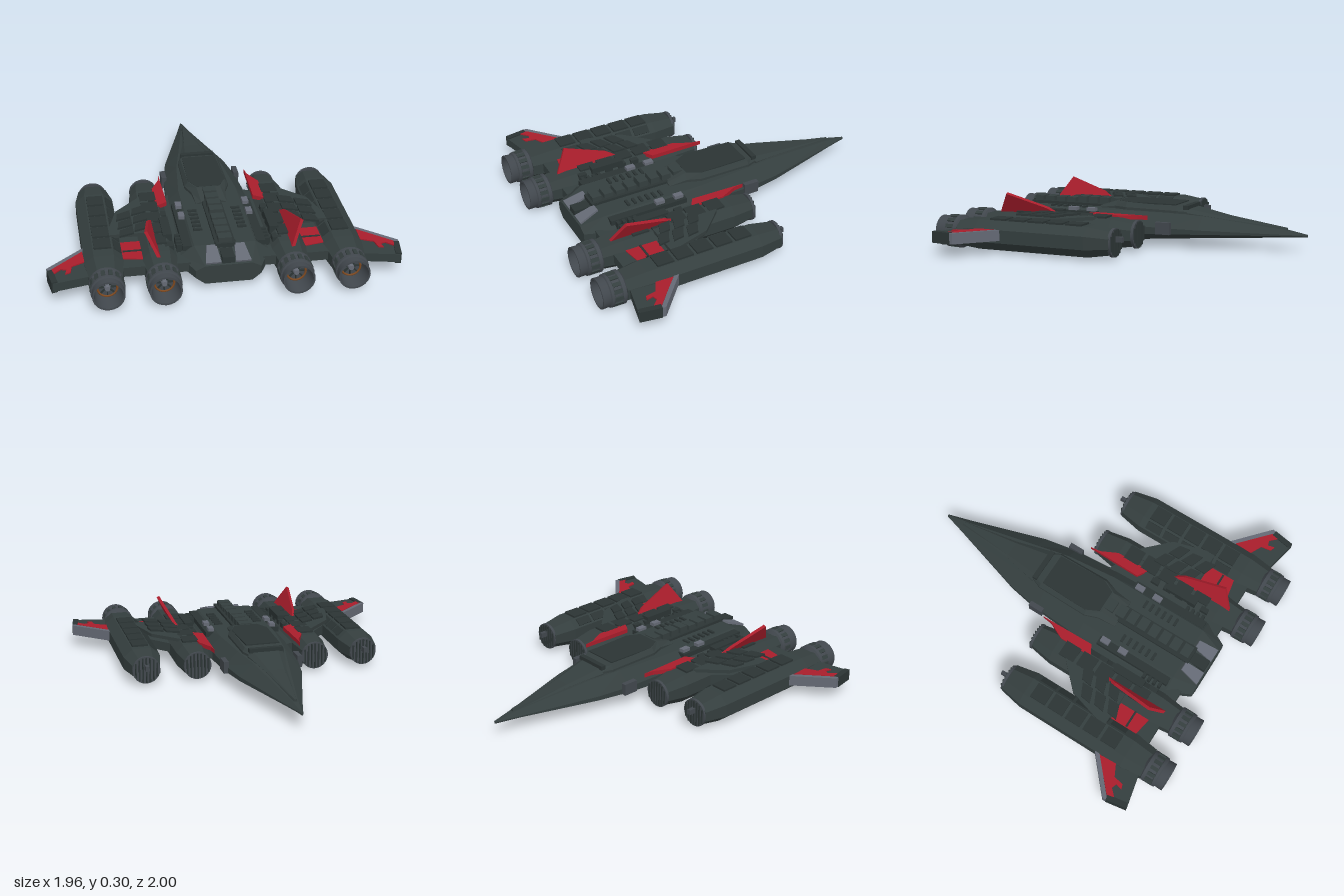
import * as THREE from 'three';
import { toCreasedNormals } from 'three/addons/utils/BufferGeometryUtils.js';

const mat = (name, color, side = THREE.FrontSide) => {
  const m = new THREE.MeshStandardMaterial({ color, side });
  m.name = name;
  return m;
};

export function createModel() {
  const hullMat = mat('hull grey green', 0x343e3e);
  const panelMat = mat('dark panel', 0x2b3434);
  const redMat = mat('red paint', 0xa81d2b);
  const metalMat = mat('engine metal', 0x41474d, THREE.DoubleSide);
  const greyMat = mat('light grey', 0x646974);
  const orangeMat = mat('burnt orange', 0x7d4a22);

  const root = new THREE.Group();
  root.name = 'starfighter';
  const add = (name, geo, m, parent = root) => {
    const mesh = new THREE.Mesh(geo, m);
    mesh.name = name;
    parent.add(mesh);
    return mesh;
  };
  const box = (name, m, x, y, z, w, h, d, parent = root) =>
    add(name, new THREE.BoxGeometry(w, h, d).translate(x, y, z), m, parent);

  // Flat shaded loft through eight-sided sections, ordered by growing z:
  // [z, bottom half width, half width, top half width, y0, y1, y2, y3]
  const loft = (sections) => {
    const rings = sections.map(([z, b, w, t, y0, y1, y2, y3]) => [
      [b, y0, z], [w, y1, z], [w, y2, z], [t, y3, z],
      [-t, y3, z], [-w, y2, z], [-w, y1, z], [-b, y0, z]]);
    const pos = [];
    const tri = (...p) => p.forEach((v) => pos.push(...v));
    for (let i = 0; i < rings.length - 1; i++) {
      for (let j = 0; j < 8; j++) {
        const k = (j + 1) % 8, A = rings[i], B = rings[i + 1];
        tri(A[j], A[k], B[j]);
        tri(A[k], B[k], B[j]);
      }
    }
    const F = rings[0], L = rings[rings.length - 1];
    for (let j = 1; j < 7; j++) {
      tri(F[0], F[j + 1], F[j]);
      tri(L[0], L[j], L[j + 1]);
    }
    const g = new THREE.BufferGeometry();
    g.setAttribute('position', new THREE.Float32BufferAttribute(pos, 3));
    g.computeVertexNormals();
    return g;
  };

  // Horizontal slab from an [x, z] outline, mirrored by s
  const plate = (pts, y, h, s = 1) => {
    const shape = new THREE.Shape(pts.map(([x, z]) => new THREE.Vector2(x * s, -z)));
    return new THREE.ExtrudeGeometry(shape, { depth: h, bevelEnabled: false })
      .rotateX(-Math.PI / 2).translate(0, y, 0);
  };

  // Fuselage
  add('fuselage', loft([
    [-1, 0.003, 0.006, 0.003, 0.087, 0.092, 0.098, 0.102],
    [-0.86, 0.02, 0.046, 0.018, 0.08, 0.092, 0.1, 0.125],
    [-0.4, 0.1, 0.185, 0.1, 0.058, 0.09, 0.115, 0.185],
    [-0.2, 0.13, 0.22, 0.14, 0.046, 0.085, 0.12, 0.198],
    [0.1, 0.15, 0.24, 0.17, 0.025, 0.075, 0.13, 0.2],
    [0.72, 0.15, 0.25, 0.17, 0.025, 0.075, 0.135, 0.195],
    [0.86, 0.13, 0.18, 0.13, 0.035, 0.075, 0.12, 0.145]]), hullMat);
  // Raised nose ridge, cockpit and spine
  add('noseRidge', loft([
    [-0.88, 0.012, 0.012, 0.006, 0.11, 0.115, 0.12, 0.134],
    [-0.52, 0.06, 0.06, 0.045, 0.15, 0.16, 0.17, 0.18],
    [-0.3, 0.11, 0.11, 0.075, 0.18, 0.19, 0.2, 0.22]]), hullMat);
  add('cockpit', loft([
    [-0.3, 0.1, 0.1, 0.075, 0.18, 0.19, 0.205, 0.225],
    [-0.24, 0.125, 0.125, 0.11, 0.18, 0.19, 0.21, 0.232],
    [0.08, 0.13, 0.13, 0.11, 0.18, 0.19, 0.215, 0.245],
    [0.16, 0.11, 0.1, 0.07, 0.18, 0.19, 0.215, 0.245],
    [0.27, 0.1, 0.09, 0.06, 0.18, 0.19, 0.2, 0.21]]), hullMat);
  add('cockpitRoof', plate([[-0.1, -0.23], [0.1, -0.23], [0.11, 0.07], [0.07, 0.15], [-0.07, 0.15], [-0.11, 0.07]], 0.239, 0.007), panelMat);
  box('cockpitSill', panelMat, 0, 0.228, -0.29, 0.2, 0.025, 0.03);
  box('spine', panelMat, 0, 0.2, 0.48, 0.11, 0.025, 0.54);
  for (let i = 0; i < 8; i++)
    box('spineBlock', hullMat, 0, 0.225, 0.19 + i * 0.074, 0.076, i < 4 ? 0.05 : 0.03, 0.056);
  box('tailBlock', panelMat, 0, 0.165, 0.79, 0.07, 0.04, 0.12);

  // Nacelle with front cap, top panels and open nozzle, along z about its own centre
  const nozzleGeo = toCreasedNormals(new THREE.LatheGeometry(
    [[0.075, 0.85], [0.096, 0.865], [0.096, 0.885], [0.088, 0.89], [0.088, 0.93], [0.094, 0.935],
      [0.094, 0.95], [0.086, 0.955], [0.088, 1], [0.078, 1], [0.066, 0.9], [0, 0.89]]
      .map(([r, y]) => new THREE.Vector2(r, y)), 24).rotateX(Math.PI / 2), 0.6);
  const nacelle = (x, half, outer, s) => {
    const g = new THREE.Group();
    g.name = outer ? 'outerNacelle' : 'innerNacelle';
    g.position.set(x * s, 0.1, 0);
    root.add(g);
    const sec = (z, k) => [z, 0.05 * k, half * k, 0.055 * k, -0.085 * k, -0.035 * k, 0.04 * k, 0.085 * k];
    add('nacelleBody', loft([sec(-0.1, 0.76), sec(0.04, 1), sec(0.73, 1), sec(0.86, 0.85)]), hullMat, g);
    add('frontCap', new THREE.CylinderGeometry(0.082, 0.082, 0.016, 24).rotateX(Math.PI / 2).translate(0, 0, -0.1), metalMat, g);
    for (let i = -3; i <= 3; i++)
      box('capGrille', panelMat, i * 0.021, 0, -0.11, 0.008, 2 * Math.sqrt(0.0058 - (i * 0.021) ** 2), 0.01, g);
    if (outer) box('sensorPost', metalMat, 0, 0.02, -0.13, 0.022, 0.03, 0.045, g);
    for (let i = 0; i < 5; i++) {
      const z = 0.13 + i * 0.12;
      box('topPanel', panelMat, 0, 0.088, z, 0.095, 0.016, 0.1, g);
      if (outer) {
        const p = box('slopePanel', panelMat, 0, 0, 0, 0.05, 0.012, 0.1, g);
        p.position.set(-s * 0.08, 0.064, z);
        p.rotation.z = s * 0.71;
      }
    }
    add('nozzle', nozzleGeo, metalMat, g);
    for (let i = 0; i < 14; i++) {
      const a = (i / 14) * Math.PI * 2;
      const rib = box('nozzleRib', hullMat, 0, 0, 0, 0.01, 0.022, 0.05, g);
      rib.position.set(Math.cos(a) * 0.09, Math.sin(a) * 0.09, 0.91);
      rib.rotation.z = a;
    }
    add('burnerRing', new THREE.TorusGeometry(0.053, 0.006, 6, 24).translate(0, 0, 0.915), orangeMat, g);
    for (let i = 0; i < 8; i++) {
      const a = (i / 8) * Math.PI * 2;
      const vane = box('burnerVane', panelMat, 0, 0, 0, 0.035, 0.005, 0.015, g);
      vane.position.set(Math.cos(a) * 0.035, Math.sin(a) * 0.035, 0.905);
      vane.rotation.z = a;
    }
    add('nozzleHub', new THREE.CylinderGeometry(0.014, 0.022, 0.04, 12).rotateX(Math.PI / 2).translate(0, 0, 0.91), greyMat, g);
  };

  for (const s of [1, -1]) {
    nacelle(0.36, 0.096, false, s);
    nacelle(0.665, 0.108, true, s);

    // Wing roots and outer wing
    add('wingRoot', plate([[0.2, 0.02], [0.32, 0.08], [0.7, 0.5], [0.7, 0.8], [0.2, 0.8]], 0.085, 0.055, s), hullMat);
    add('outerWing', plate([[0.7, 0.52], [0.77, 0.575], [0.975, 0.755], [0.95, 0.89], [0.72, 0.84]], 0.085, 0.05, s), hullMat);
    add('wingLeadingEdge', plate([[0.77, 0.562], [0.978, 0.745], [0.975, 0.775], [0.77, 0.595]], 0.08, 0.062, s), greyMat);
    add('wingTip', plate([[0.945, 0.76], [0.978, 0.765], [0.957, 0.89], [0.925, 0.88]], 0.077, 0.066, s), panelMat);
    add('wingRedPanel', plate([[0.775, 0.598], [0.95, 0.755], [0.94, 0.8], [0.9, 0.76], [0.87, 0.77], [0.88, 0.81], [0.85, 0.8], [0.84, 0.74], [0.77, 0.705]], 0.136, 0.007, s), redMat);
    add('rootRedPanel', plate([[0.45, 0.54], [0.56, 0.54], [0.56, 0.71], [0.45, 0.73]], 0.139, 0.006, s), redMat);
    box('rootSeam', panelMat, s * 0.5, 0.144, 0.64, 0.11, 0.01, 0.012);

    // Upper shoulder plate with raised tiles
    add('shoulderPlate', plate([[0.36, 0.1], [0.42, 0.14], [0.56, 0.28], [0.635, 0.535], [0.36, 0.54]], 0.175, 0.02, s), hullMat);
    for (let i = 0; i < 3; i++) for (let j = 0; j < 2; j++) {
      const x = 0.39 + j * 0.09, z = 0.245 + i * 0.09 + j * 0.05;
      add('shoulderTile', plate([[x, z], [x + 0.075, z + 0.035], [x + 0.085, z + 0.1], [x, z + 0.07]], 0.195, 0.012, s), panelMat);
    }

    // Red side slat and leaning tail fin
    add('redSlat', plate([[0.262, -0.12], [0.27, -0.06], [0.32, 0.04], [0.32, 0.25], [0.255, 0.21]], 0.17, 0.025, s), redMat);
    const finShape = new THREE.Shape([[0.37, 0], [0.79, 0], [0.71, 0.145], [0.46, 0.06]].map(([z, y]) => new THREE.Vector2(z, y)));
    const fin = add('tailFin', new THREE.ExtrudeGeometry(finShape, { depth: 0.018, bevelEnabled: false })
      .rotateY(-Math.PI / 2).translate(0.009, 0, 0), redMat);
    fin.position.set(s * 0.368, 0.172, 0);
    fin.rotation.z = -s * 0.46;

    // Deck details
    box('deckRail', panelMat, s * 0.205, 0.175, 0.47, 0.05, 0.03, 0.48);
    box('sidePod', metalMat, s * 0.222, 0.12, -0.2, 0.03, 0.07, 0.09);
    for (const z of [0.27, 0.39]) box('deckVent', greyMat, s * 0.195, 0.195, z, 0.035, 0.03, 0.055);
    for (let i = 0; i < 6; i++) box('deckRib', panelMat, s * 0.125, 0.2, 0.35 + i * 0.042, 0.05, 0.016, 0.016);
    for (let i = 0; i < 4; i++) box('rearRib', panelMat, s * 0.225, 0.16, 0.57 + i * 0.035, 0.07, 0.05, 0.018);
    for (let i = 0; i < 5; i++) box('nacelleStrap', panelMat, s * 0.3, 0.17, 0.32 + i * 0.085, 0.05, 0.03, 0.05);
    box('neckBlock', panelMat, s * 0.3, 0.19, 0.5, 0.05, 0.035, 0.2);
    add('nosePanel', plate([[0.02, 0.68], [0.05, 0.68], [0.06, 0.72], [0.02, 0.72]], 0.2, 0.01, s), panelMat);

    // Sloped grey exhaust plates at the tail
    const ex = add('tailExhaust', plate([[0.05, -0.065], [0.105, -0.065], [0.125, 0.06], [0.04, 0.06]], 0, 0.012, s), greyMat);
    ex.position.set(0, 0.171, 0.795);
    ex.rotation.x = 0.34;
  }
  return root;
}
